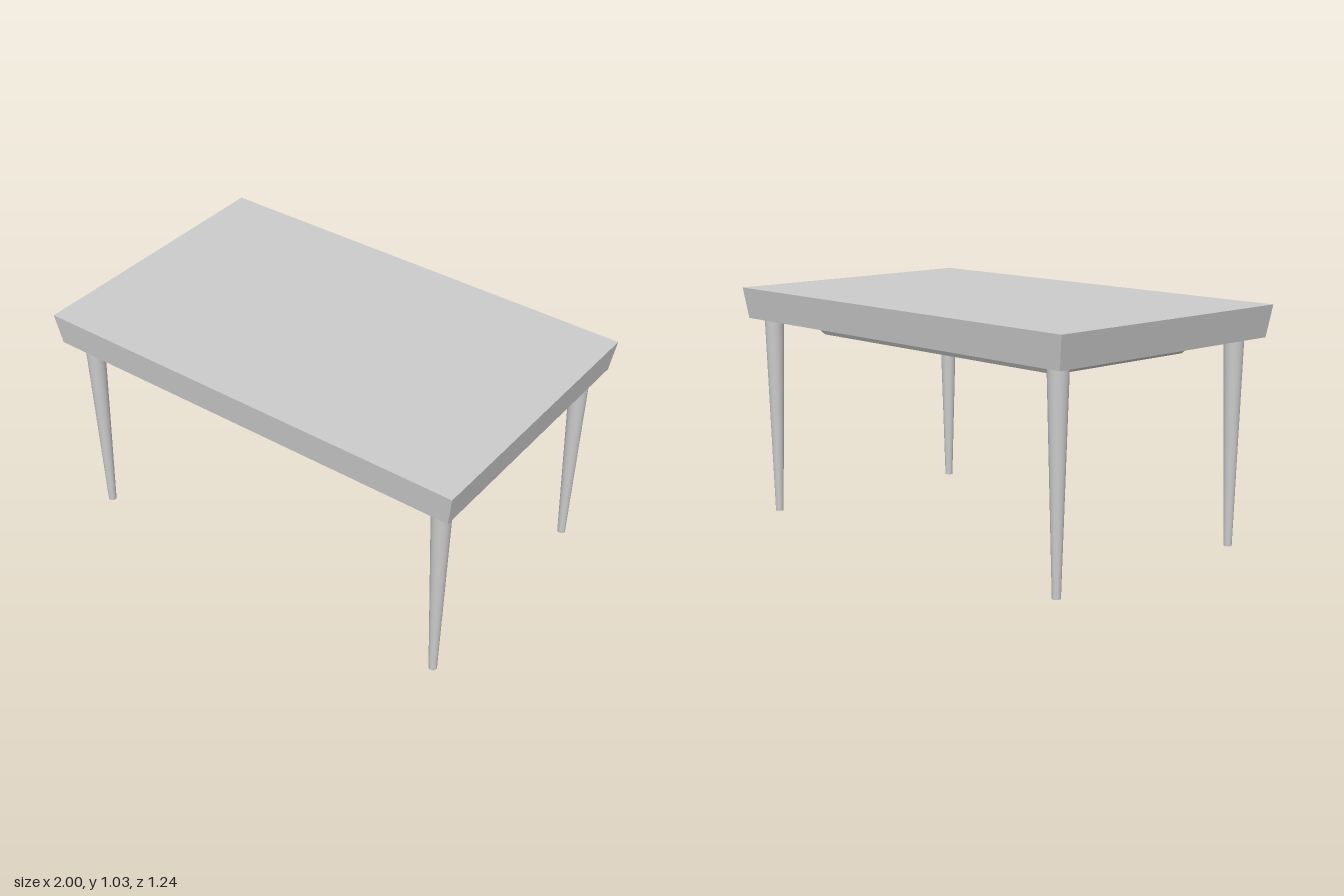
import * as THREE from 'three';

const material = new THREE.MeshStandardMaterial({ color: 0xcccccc });

// Box whose lower face is narrowed, giving four sloping sides
function taperedSlab(name, top, bottom, yTop, yBottom) {
  const geometry = new THREE.BoxGeometry(top[0], yTop - yBottom, top[1]);
  const pos = geometry.attributes.position;
  for (let i = 0; i < pos.count; i++) {
    if (pos.getY(i) < 0) {
      pos.setX(i, Math.sign(pos.getX(i)) * bottom[0] / 2);
      pos.setZ(i, Math.sign(pos.getZ(i)) * bottom[1] / 2);
    }
  }
  geometry.translate(0, (yTop + yBottom) / 2, 0);
  geometry.computeVertexNormals();
  const mesh = new THREE.Mesh(geometry, material);
  mesh.name = name;
  return mesh;
}

export function createModel() {
  const table = new THREE.Group();
  table.name = 'table';

  const topY = 1.028, underY = 0.891, panelY = 0.82;

  // Thick top with undercut edges, and the shallow panel below it
  table.add(taperedSlab('tableTop', [2, 1.244], [1.956, 1.212], topY, underY));
  table.add(taperedSlab('underPanel', [1.6, 0.83], [1.45, 0.75], underY, panelY));

  // Round tapered legs
  const legGeometry = new THREE.CylinderGeometry(0.043, 0.0175, underY, 24);
  legGeometry.translate(0, underY / 2, 0);
  const legs = [
    ['frontLeftLeg', 0.892, 0.512],
    ['frontRightLeg', -0.888, 0.512],
    ['backLeftLeg', 0.892, -0.53],
    ['backRightLeg', -0.895, -0.53],
  ];
  for (const [name, x, z] of legs) {
    const leg = new THREE.Mesh(legGeometry, material);
    leg.name = name;
    leg.position.set(x, 0, z);
    table.add(leg);
  }

  return table;
}
